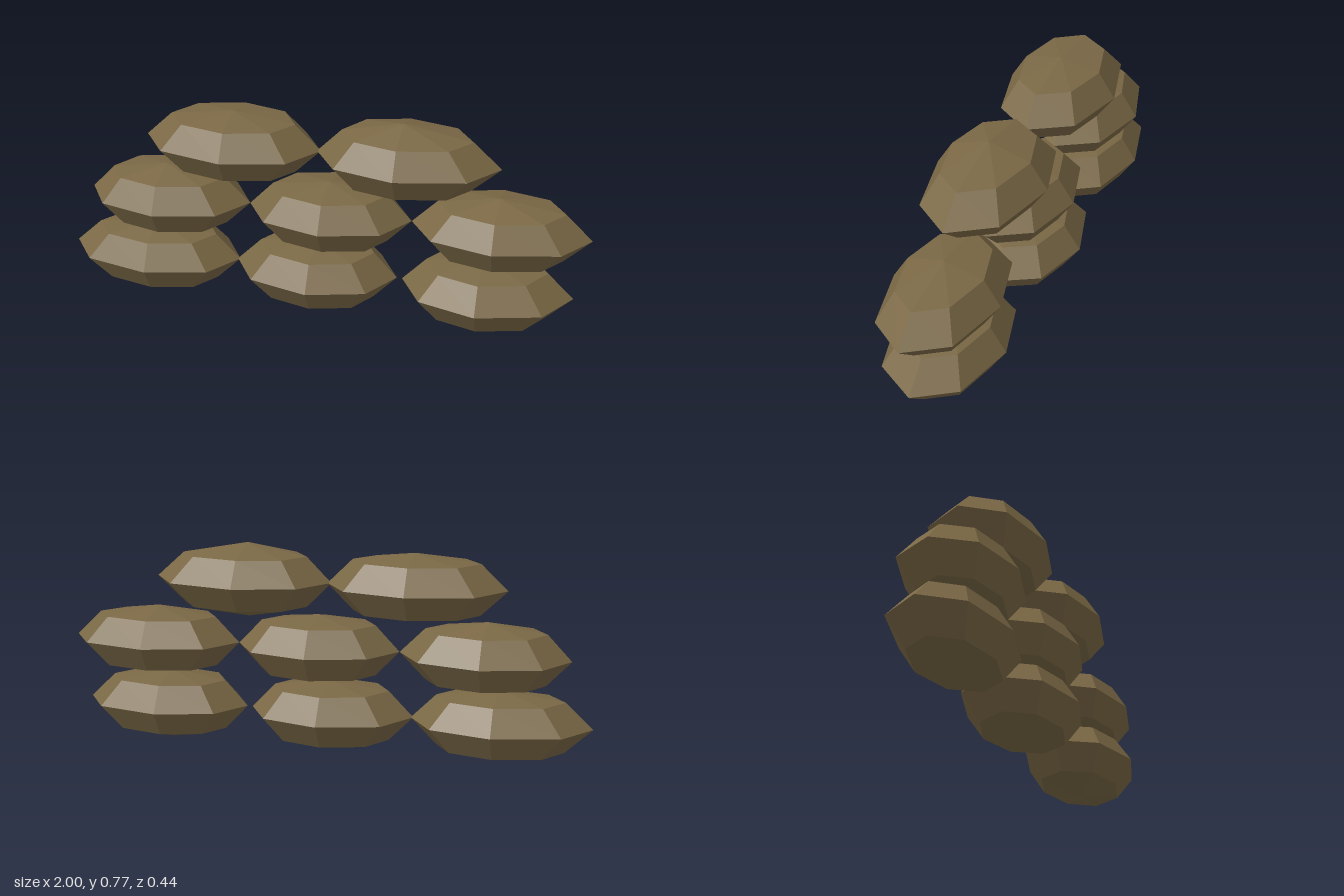
import * as THREE from 'three';

const burlap = new THREE.MeshStandardMaterial({ color: 0x7a6845, flatShading: true });
burlap.name = 'brown burlap';

// One lumpy bag: a coarse sphere stretched by its own reach in each direction.
function makeBag({ x, y, left, right, top, bottom, front, back }) {
  const geometry = new THREE.SphereGeometry(1, 8, 4);
  const p = geometry.attributes.position;
  for (let i = 0; i < p.count; i++) {
    const [px, py, pz] = [p.getX(i), p.getY(i), p.getZ(i)];
    const isPole = Math.abs(py) > 0.99;
    const height = isPole ? (py > 0 ? top - y : y - bottom) : 0.134;
    p.setXYZ(
      i,
      px * (px > 0 ? right - x : x - left),
      py * height,
      pz * (pz > 0 ? front : back)
    );
  }
  geometry.computeVertexNormals();
  const bag = new THREE.Mesh(geometry, burlap);
  bag.position.set(x, y, 0);
  return bag;
}

// Each bag: centre x, left end, right end, top, bottom, front depth, back depth
const rows = [
  { name: 'bottomRow', y: 0.143, bags: [
    [-0.655, -1.0, -0.33, 0.275, 0.015, 0.195, 0.21],
    [-0.02, -0.34, 0.285, 0.27, 0.015, 0.21, 0.223],
    [0.61, 0.305, 0.945, 0.275, 0.003, 0.222, 0.205],
  ] },
  { name: 'middleRow', y: 0.39, bags: [
    [-0.61, -0.915, -0.285, 0.52, 0.27, 0.197, 0.218],
    [0.025, -0.285, 0.335, 0.516, 0.27, 0.2, 0.21],
    [0.655, 0.335, 0.995, 0.521, 0.27, 0.197, 0.208],
  ] },
  { name: 'topRow', y: 0.636, bags: [
    [-0.34, -0.68, -0.01, 0.762, 0.511, 0.2, 0.22],
    [0.295, -0.025, 0.655, 0.777, 0.497, 0.2, 0.221],
  ] },
];

export function createModel() {
  const wall = new THREE.Group();
  wall.name = 'sandbagWall';
  for (const { name, y, bags } of rows) {
    const row = new THREE.Group();
    row.name = name;
    bags.forEach(([x, left, right, top, bottom, front, back], i) => {
      const bag = makeBag({ x, y, left, right, top, bottom, front, back });
      bag.name = `sandbag${i + 1}`;
      row.add(bag);
    });
    wall.add(row);
  }
  return wall;
}
